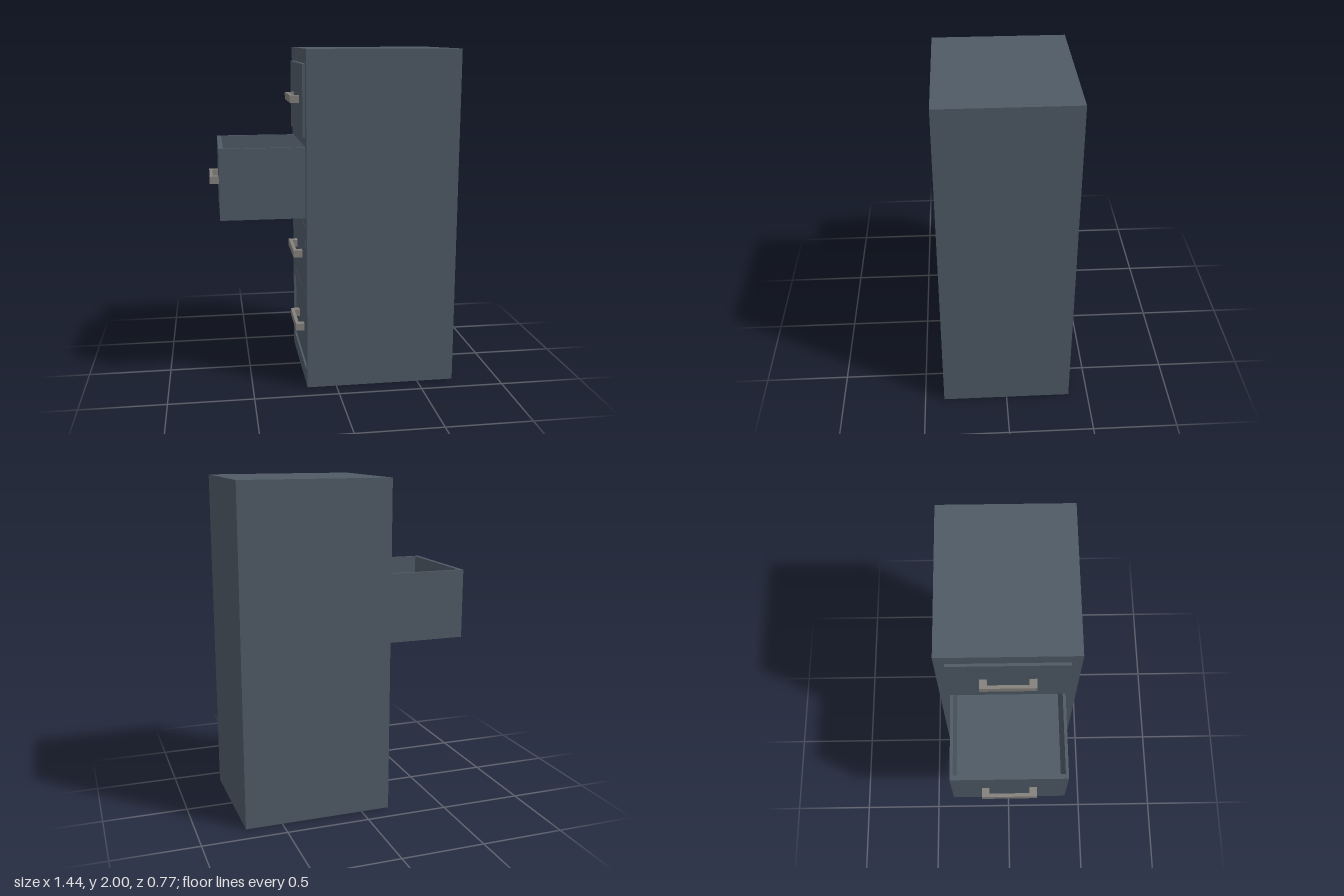
import * as THREE from 'three';

const steel = new THREE.MeshStandardMaterial({ color: 0x4f5b66 });
const metal = new THREE.MeshStandardMaterial({ color: 0x85827e });

// Cabinet and drawer dimensions
const FRONT = -0.175, BACK = 0.72, HEIGHT = 2, HALF_Z = 0.384, BACK_PANEL = 0.012;
const LENGTH = 0.87, DRAWER_H = 0.415, DRAWER_HALF_Z = 0.327;
const WALL = 0.027, SIDE = 0.017, GAP = 0.003;

// Centre height and front-face position of each drawer, top to bottom
const DRAWERS = [
  { name: 'topDrawer', y: 1.708, x: -0.19 },
  { name: 'openDrawer', y: 1.238, x: -0.668 },
  { name: 'thirdDrawer', y: 0.77, x: -0.175 },
  { name: 'bottomDrawer', y: 0.3, x: -0.164 },
];

function rect(Type, x0, y0, x1, y1) {
  const r = new Type();
  r.moveTo(x0, y0);
  r.lineTo(x1, y0);
  r.lineTo(x1, y1);
  r.lineTo(x0, y1);
  r.closePath();
  return r;
}

function addMesh(parent, name, geometry, material) {
  const mesh = new THREE.Mesh(geometry, material);
  mesh.name = name;
  parent.add(mesh);
  return mesh;
}

function addBox(parent, name, material, size, position) {
  addMesh(parent, name, new THREE.BoxGeometry(...size), material).position.set(...position);
}

// Square pull: a bar on two posts that pass through the drawer front
function createHandle() {
  const handle = new THREE.Group();
  handle.name = 'handle';
  addBox(handle, 'handleBar', metal, [0.02, 0.044, 0.312], [-0.044, 0, 0]);
  for (const s of [-1, 1]) {
    addBox(handle, 'handlePost', metal, [0.092, 0.044, 0.042], [0.012, 0, s * 0.135]);
  }
  return handle;
}

// Open-topped box with its front face at x = 0, centred in height
function createDrawer({ name, x, y }) {
  const drawer = new THREE.Group();
  drawer.name = name;
  const outline = rect(THREE.Shape, 0, -DRAWER_HALF_Z, LENGTH, DRAWER_HALF_Z);
  const inZ = DRAWER_HALF_Z - SIDE;
  outline.holes.push(rect(THREE.Path, WALL, -inZ, LENGTH - WALL, inZ));
  const walls = new THREE.ExtrudeGeometry(outline, { depth: DRAWER_H, bevelEnabled: false });
  walls.rotateX(-Math.PI / 2).translate(0, -DRAWER_H / 2, 0);
  addMesh(drawer, 'drawerWalls', walls, steel);
  addBox(drawer, 'drawerFloor', steel, [LENGTH - 2 * WALL, 0.02, 2 * inZ],
    [LENGTH / 2, -DRAWER_H / 2 + 0.01, 0]);
  drawer.add(createHandle());
  drawer.position.set(x, y, 0);
  return drawer;
}

// Shell with one slot for every drawer, closed by a back panel
function createCabinet() {
  const cabinet = new THREE.Group();
  cabinet.name = 'cabinet';
  const face = rect(THREE.Shape, -HALF_Z, 0, HALF_Z, HEIGHT);
  const slotZ = DRAWER_HALF_Z + GAP, slotY = DRAWER_H / 2 + GAP;
  for (const { y } of DRAWERS) {
    face.holes.push(rect(THREE.Path, -slotZ, y - slotY, slotZ, y + slotY));
  }
  const depth = BACK - FRONT - BACK_PANEL;
  const shell = new THREE.ExtrudeGeometry(face, { depth, bevelEnabled: false });
  shell.rotateY(Math.PI / 2).translate(FRONT, 0, 0);
  addMesh(cabinet, 'cabinetShell', shell, steel);
  addBox(cabinet, 'backPanel', steel, [BACK_PANEL, HEIGHT, 2 * HALF_Z],
    [BACK - BACK_PANEL / 2, HEIGHT / 2, 0]);
  return cabinet;
}

export function createModel() {
  const model = new THREE.Group();
  model.name = 'filingCabinet';
  model.add(createCabinet(), ...DRAWERS.map(createDrawer));
  return model;
}
